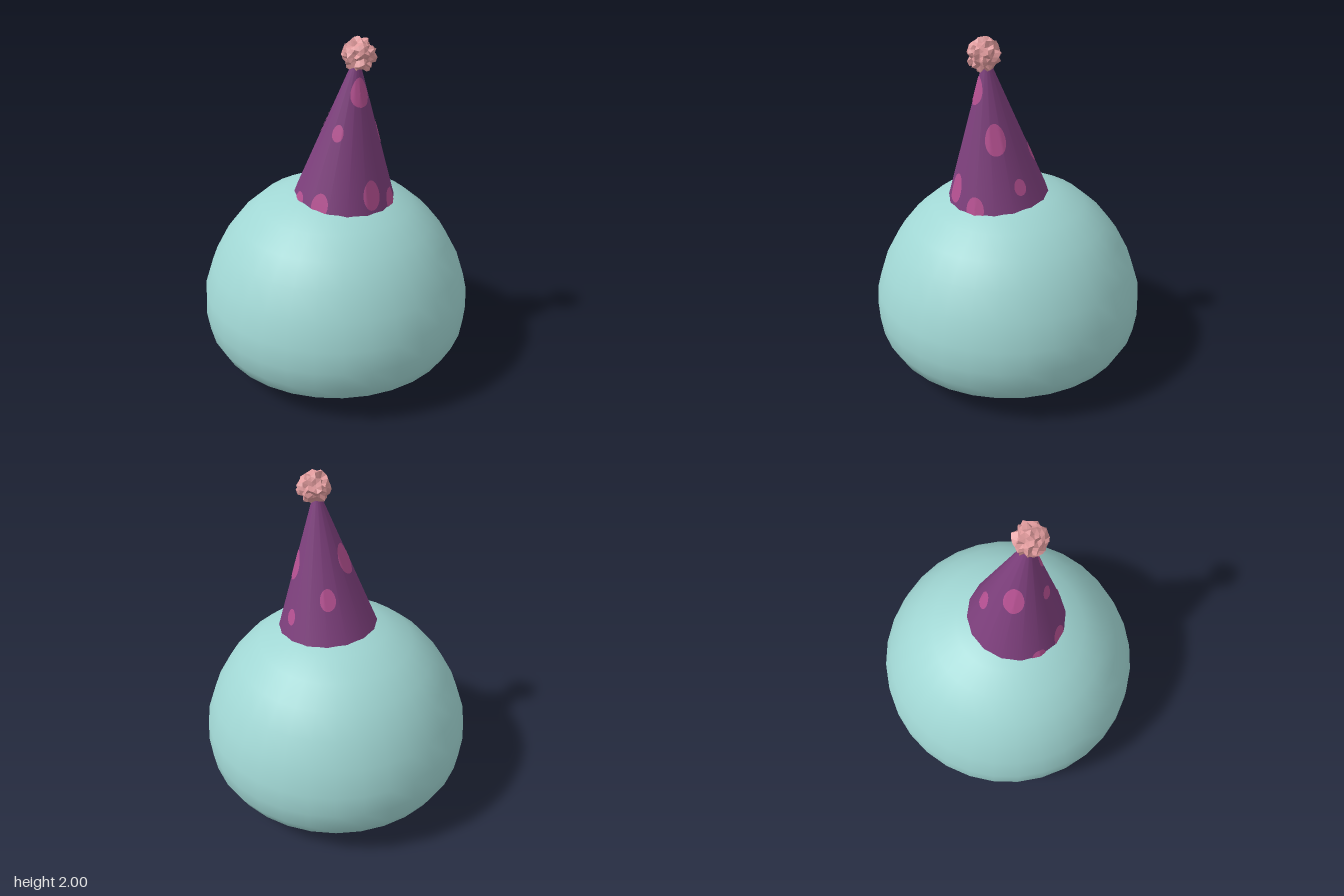
import * as THREE from 'three';

const HAT = { base: 0.285, top: 0.02, height: 0.78, sides: 16 };

// Distance from the hat's axis to its faceted wall
function wallRadius(angle, h) {
  const step = (Math.PI * 2) / HAT.sides;
  const a = ((angle % step) + step) % step;
  const r = HAT.base + (HAT.top - HAT.base) * (h / HAT.height);
  return (r * Math.cos(step / 2)) / Math.cos(a - step / 2);
}

// Oval spot wrapped round the hat wall, cut off at the brim
function spotGeometry(degrees, height, rx, ry) {
  const geo = new THREE.RingGeometry(0, 1, 28, 8);
  const p = geo.attributes.position;
  const mid = THREE.MathUtils.degToRad(degrees);
  const r0 = wallRadius(mid, height);
  for (let i = 0; i < p.count; i++) {
    const h = Math.max(0, height + p.getY(i) * ry);
    const angle = mid + (p.getX(i) * rx) / r0;
    const r = wallRadius(angle, h) + 0.003;
    p.setXYZ(i, Math.sin(angle) * r, h, Math.cos(angle) * r);
  }
  geo.computeVertexNormals();
  return geo;
}

// Repeatable value from 0 to 1 for a point
function hash(x, y, z) {
  const s = Math.sin(Math.round(x * 500) * 12.99 + Math.round(y * 500) * 78.23 + Math.round(z * 500) * 37.72) * 43758.5;
  return s - Math.floor(s);
}

export function createModel() {
  const model = new THREE.Group();
  const material = (name, color) => {
    const m = new THREE.MeshStandardMaterial({ color });
    m.name = name;
    return m;
  };
  const aqua = material('aqua', 0xa0d6d3);
  const purple = material('purple', 0x7d3f7c);
  const pink = material('pink', 0xb55091);
  const rose = material('rose', 0xdf9a9c);
  purple.side = THREE.DoubleSide;
  rose.flatShading = true;

  const add = (parent, name, geo, mat) => {
    const mesh = new THREE.Mesh(geo, mat);
    mesh.name = name;
    parent.add(mesh);
    return mesh;
  };

  // Squat rounded body
  const profile = [
    [0, 0], [0.2, 0.008], [0.4, 0.028], [0.54, 0.058], [0.64, 0.1], [0.72, 0.165],
    [0.768, 0.255], [0.785, 0.37], [0.777, 0.5], [0.727, 0.655], [0.65, 0.8],
    [0.56, 0.915], [0.44, 1.02], [0.295, 1.092], [0.15, 1.13], [0, 1.143],
  ].map(([x, y]) => new THREE.Vector2(x, y));
  add(model, 'body', new THREE.LatheGeometry(profile, 32), aqua);

  // Party hat, tipped forward
  const hat = new THREE.Group();
  hat.name = 'partyHat';
  hat.position.set(-0.004, 1.086, 0.07);
  hat.rotation.x = 0.1;
  model.add(hat);
  const cone = new THREE.CylinderGeometry(HAT.top, HAT.base, HAT.height, HAT.sides, 1, true);
  cone.translate(0, HAT.height / 2, 0);
  add(hat, 'hatCone', cone, purple);

  // Spots: angle from the front, height, half width, half height
  const spots = [
    [-14, 0.105, 0.052, 0.08], [22, 0.03, 0.055, 0.07], [56, 0.395, 0.055, 0.083],
    [-20, 0.635, 0.052, 0.075], [-77, 0.42, 0.032, 0.045], [-160, 0.43, 0.056, 0.085],
    [141, 0.25, 0.043, 0.06], [82, 0.13, 0.034, 0.045], [-79, 0.035, 0.05, 0.065],
    [-113, 0.005, 0.042, 0.045],
  ];
  spots.forEach((s, i) => add(hat, `hatSpot${i + 1}`, spotGeometry(...s), pink));

  // Spiky pompom at the tip
  const puff = new THREE.IcosahedronGeometry(1, 3);
  const p = puff.attributes.position;
  const v = new THREE.Vector3();
  for (let i = 0; i < p.count; i++) {
    v.fromBufferAttribute(p, i);
    v.multiplyScalar(0.066 + 0.033 * hash(v.x, v.y, v.z));
    p.setXYZ(i, v.x, v.y, v.z);
  }
  puff.computeVertexNormals();
  puff.computeBoundingBox();
  const pompom = add(model, 'pompom', puff, rose);
  pompom.position.set(0, 2 - puff.boundingBox.max.y, 0.165);

  return model;
}
